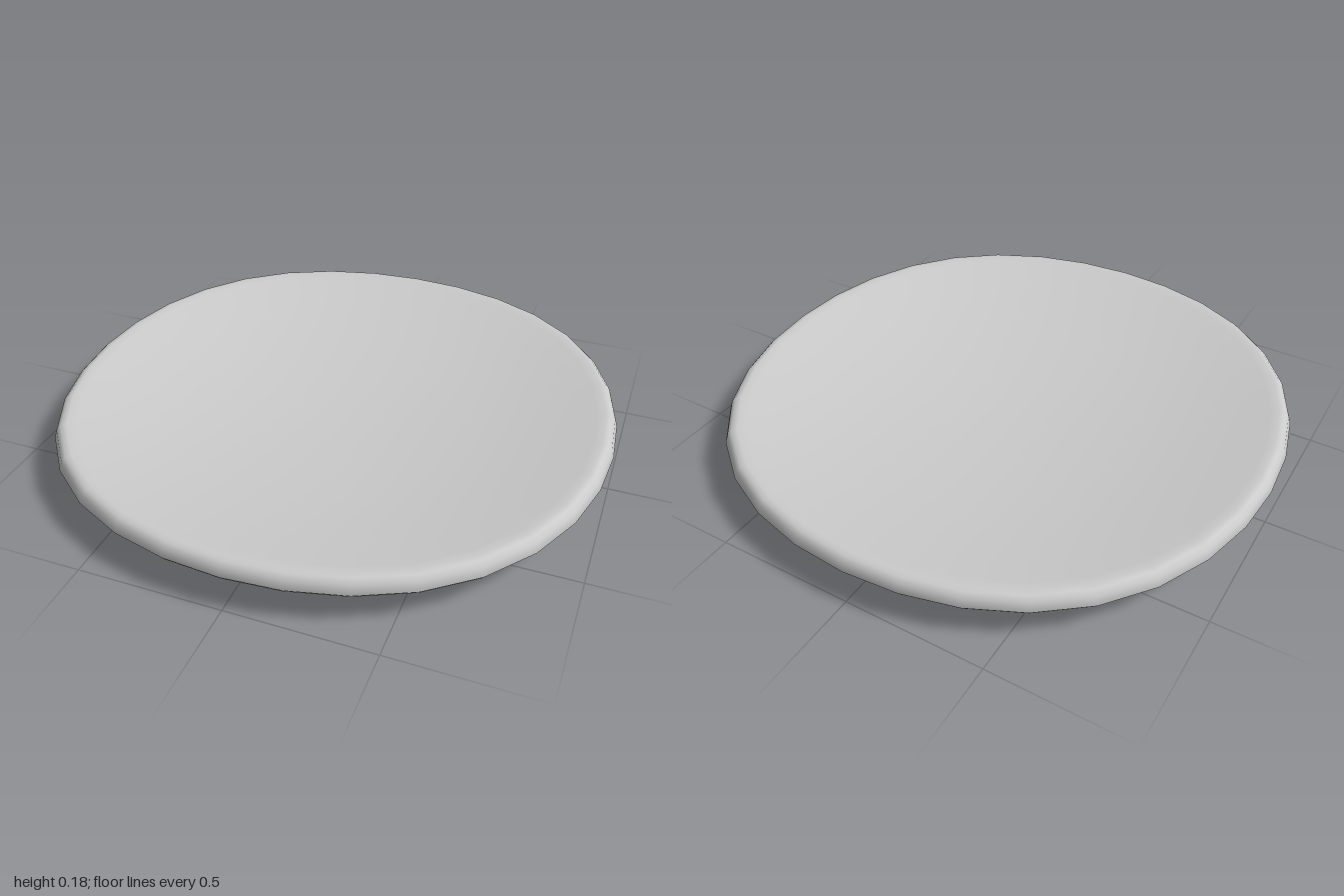
import * as THREE from 'three';
import { mergeVertices } from 'three/addons/utils/BufferGeometryUtils.js';

// Shallow dish: underside centre, out to the rounded rim, back to the hollow
const PROFILE = [
  [0, 0], [0.2, 0.004], [0.4, 0.014], [0.58, 0.04], [0.75, 0.07], [0.9, 0.098],
  [0.96, 0.112], [0.99, 0.122], [1, 0.135], [0.99, 0.165], [0.975, 0.18], [0.955, 0.183],
  [0.925, 0.178], [0.85, 0.164], [0.7, 0.138], [0.5, 0.112], [0.25, 0.095], [0, 0.09],
];

export function createModel() {
  const group = new THREE.Group();
  const geometry = new THREE.LatheGeometry(PROFILE.map(([r, y]) => new THREE.Vector2(r, y)), 32);

  // The outline is very slightly squared: it swells on the diagonals
  const pos = geometry.attributes.position;
  for (let i = 0; i < pos.count; i++) {
    const x = pos.getX(i), z = pos.getZ(i);
    const swell = 1 + 0.027 * Math.sin(2 * Math.atan2(z, x)) ** 2;
    pos.setXYZ(i, x * swell, pos.getY(i), z * swell);
  }

  // Weld the seam so the shading is smooth all round
  geometry.deleteAttribute('uv');
  geometry.deleteAttribute('normal');
  const smooth = mergeVertices(geometry, 1e-4);
  smooth.computeVertexNormals();

  const dish = new THREE.Mesh(smooth, new THREE.MeshStandardMaterial({ color: 0xcccccc }));
  dish.name = 'dish';
  group.add(dish);
  return group;
}
